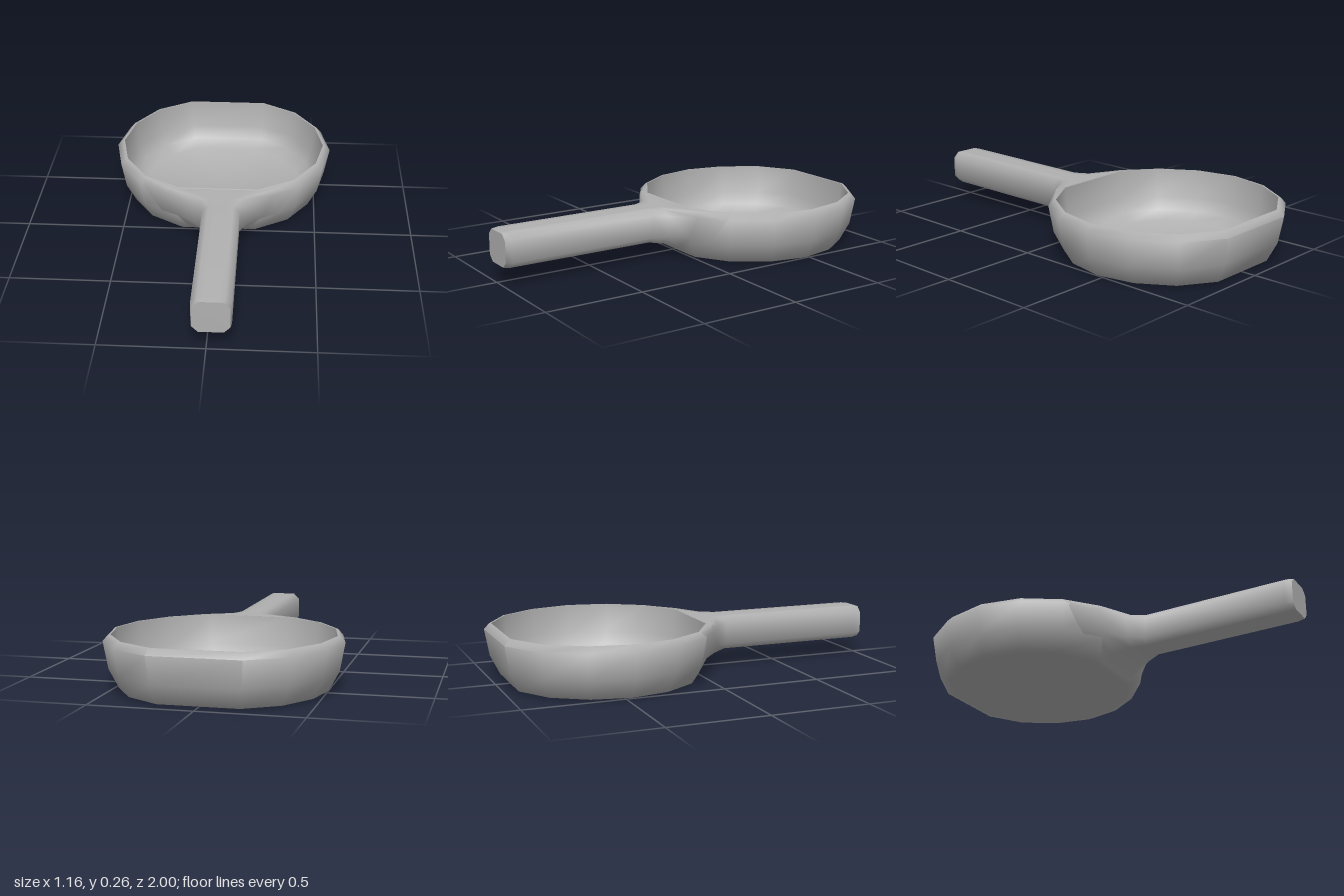
import * as THREE from 'three';
import { toCreasedNormals } from 'three/addons/utils/BufferGeometryUtils.js';

// Skin a list of closed rings (each an array of [x, y, z]); edges sharper than crease stay hard.
function loft(rings, crease) {
  const n = rings[0].length;
  const index = [];
  for (let r = 0; r < rings.length - 1; r++) {
    for (let i = 0; i < n; i++) {
      const j = (i + 1) % n;
      const a = r * n + i, b = r * n + j, c = a + n, d = b + n;
      index.push(a, c, b, b, c, d);
    }
  }
  const geometry = new THREE.BufferGeometry();
  geometry.setAttribute('position', new THREE.Float32BufferAttribute(rings.flat(2), 3));
  geometry.setIndex(index);
  return toCreasedNormals(geometry, THREE.MathUtils.degToRad(crease));
}

// Ring from its right half (top corner, side, side, bottom corner, inner top point), mirrored about x = cx.
function mirrored(half, cx) {
  const right = half.map(([x, y, z]) => [cx + x, y, z]);
  const left = half.map(([x, y, z]) => [cx - x, y, z]);
  return [...right.slice(0, 4), ...left.slice(0, 4).reverse(), left[4], right[4]];
}

// Chamfered handle section of half width w, with corner cuts c (sideways), top and bottom (down, up).
function section(z, cx, w, y0, y1, c, top, bottom) {
  return mirrored([
    [w - c, y1, z], [w, y1 - top, z], [w, y0 + bottom, z], [w - c, y0, z], [w / 2 - c / 2, y1, z],
  ], cx);
}

export function createModel() {
  const group = new THREE.Group();
  group.name = 'fryingPan';
  const metal = new THREE.MeshStandardMaterial({ color: 0xb0b0b0 });
  metal.name = 'grey metal';

  // Fourteen-sided outline around the bowl centre (x, z), mirrored left to right
  const half = [[0.22, -0.53], [0.412, -0.41], [0.535, -0.22], [0.58, 0],
    [0.535, 0.22], [0.412, 0.41], [0.22, 0.53]];
  const outline = [...half, ...half.map(([x, z]) => [-x, z]).reverse()];

  // Bowl profile: outline scale and height, from under the base over the rim to the floor
  const profile = [[0, 0], [0.815, 0], [0.872, 0.005], [0.957, 0.1], [1, 0.235], [0.952, 0.265],
    [0.935, 0.265], [0.91, 0.12], [0.85, 0.055], [0.75, 0.012], [0, 0.01]];
  const bowl = new THREE.Mesh(
    loft(profile.map(([s, y]) => outline.map(([x, z]) => [x * s, y, z * s])), 58), metal);
  bowl.name = 'bowl';
  bowl.position.z = -0.47;
  group.add(bowl);

  // Handle: flares out of the bowl wall, then runs straight to a softly bevelled tip
  const root = mirrored([[0.392, 0.264, -0.078], [0.41, 0.235, -0.06], [0.3, 0.1, -0.018],
    [0.15, 0.004, -0.008], [0.2, 0.264, 0.036]], 0);
  const flare = mirrored([[0.245, 0.264, 0.045], [0.275, 0.235, 0.035], [0.22, 0.12, 0.05],
    [0.12, 0.05, 0.05], [0.12, 0.264, 0.08]], 0.005);
  const tip = section(1, 0.022, 0.088, 0.094, 0.257, 0.03, 0.03, 0.03);
  const handle = new THREE.Mesh(loft([
    root,
    flare,
    section(0.13, 0.018, 0.137, 0.078, 0.262, 0.042, 0.032, 0.045),
    section(0.2, 0.022, 0.093, 0.089, 0.261, 0.03, 0.03, 0.03),
    section(0.965, 0.022, 0.093, 0.089, 0.261, 0.03, 0.03, 0.03),
    tip,
    tip.map(() => [0.022, 0.176, 1]),
  ], 75), metal);
  handle.name = 'handle';
  group.add(handle);

  return group;
}
